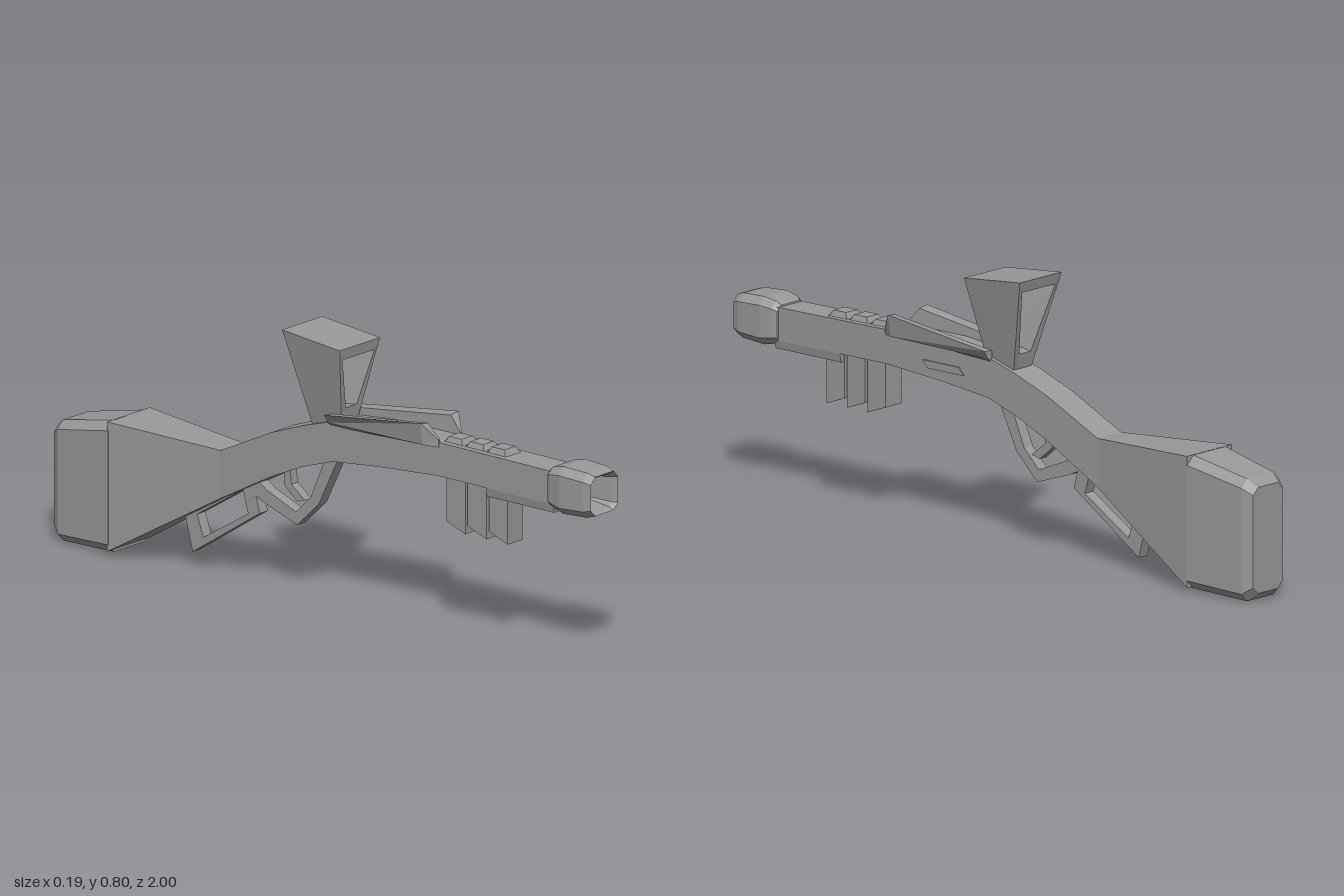
import * as THREE from 'three';

const grey = new THREE.MeshStandardMaterial({ color: 0x999999 });
grey.name = 'grey';

// Skin loops of [x, y, z] (counterclockwise seen from the front), listed front to back
function loft(loops, closed = false) {
  const pos = [];
  const tri = (a, b, c) => pos.push(...a, ...b, ...c);
  const n = loops[0].length;
  const last = closed ? loops.length : loops.length - 1;
  for (let i = 0; i < last; i++) {
    const s = loops[i], t = loops[(i + 1) % loops.length];
    for (let j = 0; j < n; j++) {
      const k = (j + 1) % n;
      tri(s[j], t[j], t[k]);
      tri(s[j], t[k], s[k]);
    }
  }
  if (!closed) {
    const s = loops[0], t = loops[loops.length - 1];
    for (let j = 1; j < n - 1; j++) {
      tri(s[0], s[j], s[j + 1]);
      tri(t[0], t[j + 1], t[j]);
    }
  }
  const g = new THREE.BufferGeometry();
  g.setAttribute('position', new THREE.Float32BufferAttribute(pos, 3));
  g.computeVertexNormals();
  return g;
}

// Symmetric four-sided loop with separate bottom and top half widths
const quad = (z, y0, y1, w0, w1 = w0) =>
  [[-w0, y0, z], [w0, y0, z], [w1, y1, z], [-w1, y1, z]];

// Rectangle with cut corners
const octagon = (z, y0, y1, w, c) => [
  [-w + c, y0, z], [w - c, y0, z], [w, y0 + c, z], [w, y1 - c, z],
  [w - c, y1, z], [-w + c, y1, z], [-w, y1 - c, z], [-w, y0 + c, z]];

// Side outline of [z, y] points, given a thickness across x
function sidePlate(outline, halfWidth, hole) {
  const points = (list) => list.map(([z, y]) => new THREE.Vector2(z, y));
  const shape = new THREE.Shape(points(outline));
  if (hole) shape.holes.push(new THREE.Path(points(hole)));
  const g = new THREE.ExtrudeGeometry(shape, { depth: halfWidth * 2, bevelEnabled: false });
  return g.rotateY(-Math.PI / 2).translate(halfWidth, 0, 0);
}

export function createModel() {
  const model = new THREE.Group();
  const add = (name, geometry) => {
    const mesh = new THREE.Mesh(geometry, grey);
    mesh.name = name;
    model.add(mesh);
  };

  // Curved body running into the flared stock: z, bottom, top, half width
  add('body', loft([
    [0.86, 0.458, 0.555, 0.05], [0.42, 0.46, 0.56, 0.05], [0.2, 0.444, 0.56, 0.05],
    [0.03, 0.426, 0.545, 0.05], [-0.08, 0.39, 0.512, 0.05], [-0.2, 0.337, 0.468, 0.05],
    [-0.39, 0.235, 0.378, 0.05], [-0.775, 0.013, 0.398, 0.094],
  ].map((s) => quad(...s))));

  // Butt with cut corners and a bevelled end
  add('butt', loft([
    octagon(-0.77, 0.008, 0.398, 0.094, 0.026),
    octagon(-0.97, 0.0, 0.358, 0.079, 0.024),
    octagon(-1, 0.025, 0.335, 0.062, 0.02),
  ]));

  // Hollow muzzle, skinned from the inner floor over the rim to the back
  add('muzzle', loft([
    octagon(0.9, 0.472, 0.538, 0.032, 0.004),
    octagon(0.985, 0.458, 0.557, 0.05, 0.012),
    octagon(1, 0.45, 0.566, 0.06, 0.02),
    octagon(0.975, 0.442, 0.574, 0.067, 0.022),
    octagon(0.89, 0.438, 0.578, 0.071, 0.022),
    octagon(0.85, 0.446, 0.57, 0.064, 0.02),
    octagon(0.835, 0.45, 0.56, 0.056, 0.016),
  ]));

  add('underRail', loft([quad(0.85, 0.433, 0.46, 0.045, 0.05), quad(0.6, 0.433, 0.46, 0.045, 0.05)]));

  // Three slanted blocks below and three bevelled blocks on top
  for (let i = 0; i < 3; i++) {
    const z = 0.667 - i * 0.079;
    add('lowerBlock', sidePlate([[z, 0.3], [z, 0.46], [z - 0.07, 0.46], [z - 0.07, 0.326]], 0.033));
    const t = 0.66 - i * 0.08;
    add('topBlock', loft([
      quad(t, 0.55, 0.556, 0.034), quad(t - 0.012, 0.55, 0.575, 0.034, 0.024),
      quad(t - 0.06, 0.55, 0.575, 0.034, 0.024), quad(t - 0.072, 0.55, 0.556, 0.034),
    ]));
  }

  // Raised side wings sloping down toward the sight
  const wing = [
    [[0.045, 0.545, 0.425], [0.051, 0.545, 0.425], [0.051, 0.567, 0.425], [0.045, 0.567, 0.425]],
    [[0.045, 0.545, 0.385], [0.073, 0.55, 0.385], [0.083, 0.615, 0.385], [0.05, 0.61, 0.385]],
    [[0.045, 0.53, 0.02], [0.06, 0.542, 0.02], [0.077, 0.568, 0.02], [0.045, 0.565, 0.02]],
  ];
  add('leftWing', loft(wing));
  add('rightWing', loft(wing.map((s) => s.map(([x, y, z]) => [-x, y, z]).reverse())));

  // Narrow slot cover on the left side only
  add('sideSlot', sidePlate([[0.12, 0.475], [0.26, 0.475], [0.28, 0.497], [0.14, 0.497]], 0.003)
    .translate(0.051, 0, 0));

  // Open flared sight frame, wrapped round as one closed skin
  const slanted = (points) => points.flatMap(([x, y, z]) => [[x, y, z]]);
  const frame = (w0, y0, z0, w1, y1, z1) =>
    slanted([[-w0, y0, z0], [w0, y0, z0], [w1, y1, z1], [-w1, y1, z1]]);
  add('sightFrame', loft([
    frame(0.036, 0.54, 0.05, 0.088, 0.774, 0.088),
    frame(0.036, 0.51, -0.055, 0.088, 0.795, -0.127),
    frame(0.024, 0.565, -0.066, 0.07, 0.762, -0.119),
    frame(0.024, 0.585, 0.056, 0.07, 0.741, 0.083),
  ], true));

  // Trigger guard, trigger and lever loop
  add('triggerGuard', sidePlate([
    [0.03, 0.44], [-0.05, 0.277], [-0.13, 0.2], [-0.26, 0.245], [-0.31, 0.27],
    [-0.295, 0.315], [-0.24, 0.28], [-0.135, 0.238], [-0.08, 0.292], [-0.02, 0.43],
  ], 0.018));
  add('trigger', sidePlate([
    [-0.162, 0.38], [-0.155, 0.315], [-0.105, 0.277], [-0.135, 0.268], [-0.182, 0.308], [-0.185, 0.38],
  ], 0.014));
  add('leverLoop', sidePlate(
    [[-0.3, 0.312], [-0.55, 0.155], [-0.52, 0.045], [-0.27, 0.207]], 0.018,
    [[-0.333, 0.265], [-0.503, 0.16], [-0.48, 0.096], [-0.313, 0.198]]));

  return model;
}
